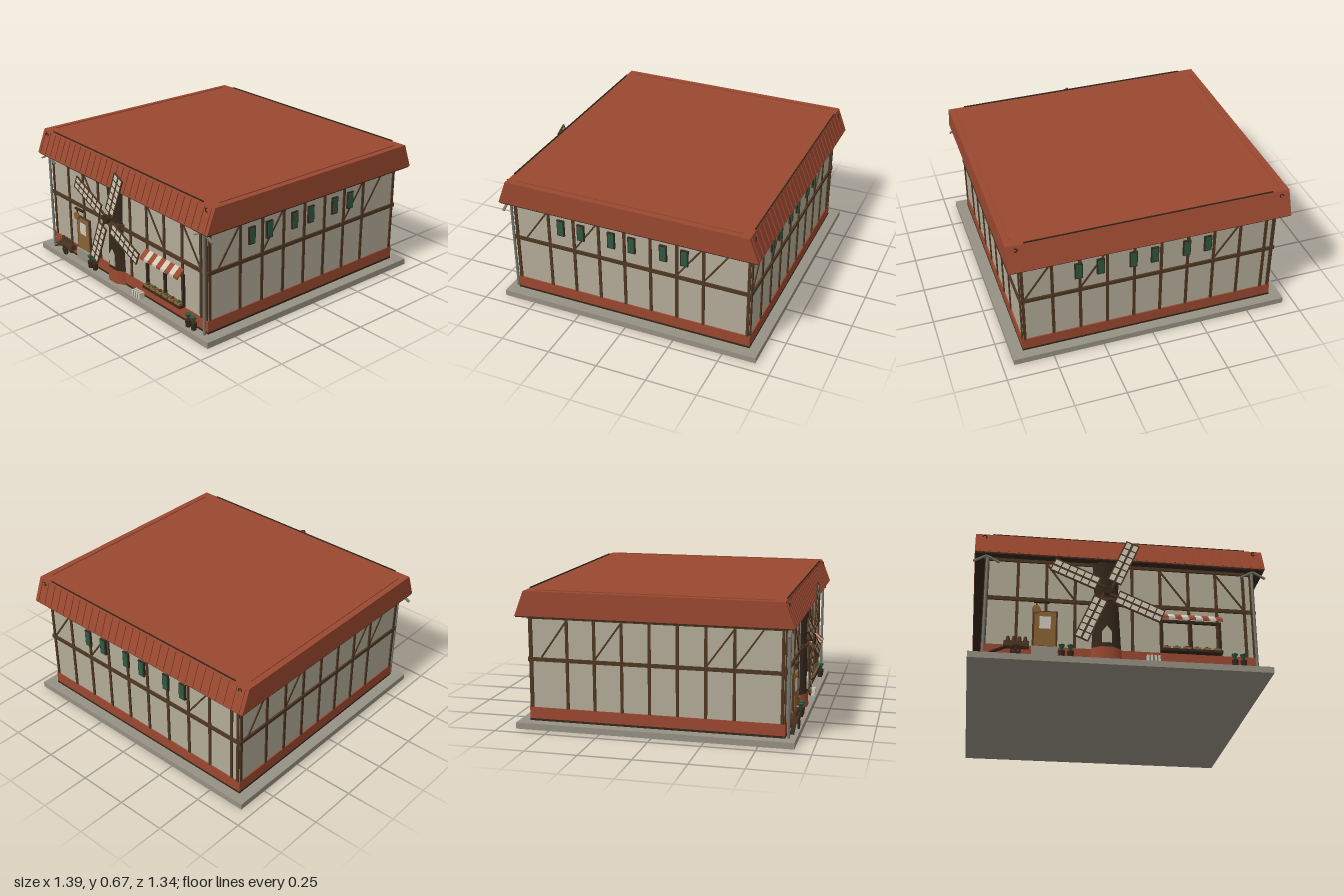
import * as THREE from 'three';

const mat = (name, color) => Object.assign(new THREE.MeshStandardMaterial({ color }), { name });

export function createModel() {
  const root = new THREE.Group();
  root.name = 'timberFramedMill';
  const plaster = mat('plaster', 0xb3ab98), red = mat('roofRed', 0x9a4830), timber = mat('timber', 0x4e3722),
    dark = mat('darkTimber', 0x36281c), ochre = mat('doorWood', 0x8a6234), green = mat('shutterGreen', 0x2c5a40),
    stone = mat('stone', 0x969183), cream = mat('cream', 0xd0c9ba), grey = mat('metalGrey', 0x77776f);

  const add = (parent, name, geo, m, x = 0, y = 0, z = 0) => {
    const mesh = new THREE.Mesh(geo, m);
    mesh.name = name;
    mesh.position.set(x, y, z);
    parent.add(mesh);
    return mesh;
  };
  const box = (p, name, m, w, h, d, x, y, z) => add(p, name, new THREE.BoxGeometry(w, h, d), m, x, y, z);
  const group = (p, name, x = 0, y = 0, z = 0) => {
    const g = new THREE.Group();
    g.name = name;
    g.position.set(x, y, z);
    p.add(g);
    return g;
  };
  // beam in a plane of constant z between two points
  const beam = (p, name, m, x0, y0, x1, y1, t, d, z) => {
    const b = box(p, name, m, Math.hypot(x1 - x0, y1 - y0), t, d, (x0 + x1) / 2, (y0 + y1) / 2, z);
    b.rotation.z = Math.atan2(y1 - y0, x1 - x0);
    return b;
  };

  const W = 0.632, D = 0.608;
  box(root, 'groundSlab', stone, 1.39, 0.03, 1.33, 0, 0.015, 0);
  box(root, 'walls', plaster, W * 2, 0.52, D * 2, 0, 0.29, 0);
  box(root, 'plinth', red, W * 2 + 0.012, 0.058, D * 2 + 0.012, 0, 0.066, 0);
  box(root, 'plinthFoot', dark, W * 2 + 0.014, 0.01, D * 2 + 0.014, 0, 0.035, 0);

  // half-timbering, built flat in each wall's own frame
  const wall = (name, angle, half, out, posts, braces, windows) => {
    const g = group(root, name);
    g.rotation.y = angle;
    for (const u of [...posts, -half + 0.008, half - 0.008])
      box(g, 'post', timber, 0.014, 0.44, 0.012, u, 0.315, out);
    box(g, 'middleRail', timber, half * 2 + 0.014, 0.018, 0.018, 0, 0.331, out);
    box(g, 'topRail', timber, half * 2 + 0.014, 0.018, 0.018, 0, 0.535, out);
    for (const [a, b] of braces) beam(g, 'brace', timber, a, 0.34, b, 0.525, 0.008, 0.01, out);
    for (const u of windows) {
      box(g, 'windowFrame', dark, 0.038, 0.086, 0.02, u, 0.445, out);
      box(g, 'shutter', green, 0.028, 0.074, 0.026, u, 0.445, out);
    }
  };
  const frontPosts = Array.from({ length: 9 }, (_, i) => -0.482 + 0.1335 * i);
  const sidePosts = Array.from({ length: 7 }, (_, i) => -0.422 + 0.1335 * i);
  const sideBraces = [[-0.55, -0.42], [-0.288, -0.155], [0.246, 0.38], [0.38, 0.51]];
  const windows = [-0.355, -0.248, -0.088, 0.018, 0.178, 0.285];
  wall('frontWall', 0, W, D, frontPosts, [[-0.215, -0.348], [0.318, 0.185], [0.585, 0.452]], []);
  wall('backWall', Math.PI, W, D, frontPosts, [[-0.615, -0.482], [-0.348, -0.215], [0.318, 0.452]], windows);
  wall('rightWall', Math.PI / 2, D, W, sidePosts, sideBraces, windows);
  wall('leftWall', -Math.PI / 2, D, W, sidePosts, sideBraces, []);

  // roof: trapezoid section run along x
  const roof = group(root, 'roof');
  const section = new THREE.Shape([[-0.658, 0.546], [0.658, 0.546], [0.612, 0.665], [-0.612, 0.665]]
    .map(([a, b]) => new THREE.Vector2(a, b)));
  const roofGeo = new THREE.ExtrudeGeometry(section, { depth: 1.376, bevelEnabled: false });
  roofGeo.translate(0, 0, -0.688).rotateY(-Math.PI / 2);
  add(roof, 'roofBody', roofGeo, red);
  box(roof, 'soffit', dark, 1.37, 0.006, 1.308, 0, 0.543, 0);
  const slope = Math.atan2(0.046, 0.119);
  for (const s of [1, -1]) {
    for (let i = 0; i < 30; i++) {
      const rib = box(roof, 'tileRib', red, 0.006, 0.115, 0.008, -0.667 + i * 0.046, 0.604, s * 0.636);
      rib.rotation.x = -s * slope;
    }
    box(roof, 'ridgeTrim', dark, 1.21, 0.007, 0.005, 0, 0.667, s * 0.608);
    box(roof, 'sideTrim', red, 0.006, 0.005, 1.13, s * 0.655, 0.667, 0);
    for (const f of [1, -1]) {
      const hook = add(roof, 'roofHook', new THREE.TorusGeometry(0.009, 0.003, 5, 8, 4.5), dark, s * 0.645, 0.645, f * 0.624);
      hook.rotation.z = s;
    }
    // downpipe and gutter brackets at the front corners
    add(root, 'downpipe', new THREE.CylinderGeometry(0.007, 0.007, 0.5, 8), grey, s * 0.628, 0.28, 0.628);
    for (const k of [1, -1])
      beam(root, 'gutterBracket', grey, s * 0.632, 0.54, s * 0.632 + k * 0.06, 0.507, 0.007, 0.012, 0.632);
  }

  // mill tower set against the front wall
  const mill = group(root, 'windmill', -0.07, 0, 0.598);
  const tower = (name, m, r0, r1, h, y) => {
    const t = add(mill, name, new THREE.CylinderGeometry(r1, r0, h, 8).rotateY(Math.PI / 8), m, 0, y, 0);
    t.scale.z = 0.62;
    return t;
  };
  tower('towerBase', red, 0.079, 0.074, 0.07, 0.065);
  tower('towerBody', dark, 0.073, 0.06, 0.26, 0.23);
  tower('towerGallery', timber, 0.075, 0.075, 0.014, 0.345);
  tower('towerTop', dark, 0.058, 0.07, 0.19, 0.45);
  const arch = new THREE.Shape();
  arch.moveTo(-0.022, 0);
  arch.lineTo(0.022, 0);
  arch.lineTo(0.022, 0.055);
  arch.lineTo(0, 0.085);
  arch.lineTo(-0.022, 0.055);
  add(mill, 'towerDoor', new THREE.ExtrudeGeometry(arch, { depth: 0.008, bevelEnabled: false }), plaster, 0, 0.12, 0.038);

  const rotor = group(mill, 'rotor', 0, 0.375, 0.069);
  add(rotor, 'axle', new THREE.CylinderGeometry(0.013, 0.013, 0.05, 8).rotateX(Math.PI / 2), timber, 0, 0, -0.022);
  add(rotor, 'hub', new THREE.CylinderGeometry(0.024, 0.024, 0.016, 8).rotateX(Math.PI / 2), dark);
  for (let i = 0; i < 4; i++) {
    const blade = group(rotor, 'blade');
    blade.rotation.z = THREE.MathUtils.degToRad(67 + 90 * i);
    box(blade, 'spar', timber, 0.28, 0.01, 0.008, 0.14, -0.012, -0.002);
    box(blade, 'sail', cream, 0.225, 0.062, 0.003, 0.167, -0.012, 0);
    for (const e of [-0.044, 0.02]) box(blade, 'sailEdge', timber, 0.23, 0.006, 0.007, 0.167, e, 0);
    for (let k = 0; k < 7; k++) box(blade, 'rung', timber, 0.005, 0.066, 0.007, 0.055 + k * 0.0375, -0.012, 0);
  }

  // entrance with hanging sign
  const door = group(root, 'door', -0.352, 0, 0.615);
  box(door, 'doorFrame', timber, 0.115, 0.18, 0.01, 0, 0.183, 0);
  box(door, 'doorLeaf', ochre, 0.098, 0.172, 0.014, 0, 0.181, 0);
  box(door, 'doorPane', cream, 0.052, 0.062, 0.018, 0, 0.212, 0);
  box(door, 'doorStep', stone, 0.12, 0.06, 0.02, 0, 0.06, 0.004);
  box(door, 'signArm', dark, 0.07, 0.009, 0.012, -0.018, 0.315, 0.012);
  box(door, 'signHanger', dark, 0.006, 0.04, 0.006, -0.04, 0.295, 0.012);
  add(door, 'signBoard', new THREE.CylinderGeometry(0.02, 0.02, 0.012, 8).rotateX(Math.PI / 2), ochre, -0.042, 0.275, 0.014);

  // shop window, striped awning and produce crates
  const shop = group(root, 'shopFront', 0.325, 0, 0.613);
  for (const s of [-0.137, 0, 0.137]) box(shop, 'shopPost', dark, 0.012, 0.16, 0.016, s, 0.178, 0);
  box(shop, 'shopHead', dark, 0.286, 0.012, 0.016, 0, 0.258, 0);
  box(shop, 'shopSill', dark, 0.286, 0.012, 0.04, 0, 0.103, 0.01);
  for (let i = 0; i < 9; i++) {
    const stripe = box(shop, 'awningStripe', i % 2 ? cream : red, 0.032, 0.006, 0.05, -0.126 + i * 0.032, 0.277, 0.021);
    stripe.rotation.x = 0.72;
    box(shop, 'awningValance', i % 2 ? cream : red, 0.032, 0.012, 0.004, -0.126 + i * 0.032, 0.259, 0.041);
  }
  for (let i = 0; i < 6; i++) {
    box(shop, 'crate', ochre, 0.036, 0.014, 0.026, -0.118 + i * 0.047, 0.113, 0.014);
    add(shop, 'produce', new THREE.SphereGeometry(0.011, 6, 4), i % 2 ? green : timber, -0.118 + i * 0.047, 0.12, 0.014);
  }

  // handcart
  const cart = group(root, 'handcart', -0.48, 0, 0.64);
  box(cart, 'cartBed', timber, 0.115, 0.026, 0.032, 0, 0.084, 0);
  beam(cart, 'cartHandle', dark, -0.115, 0.04, -0.03, 0.08, 0.007, 0.02, 0);
  for (const s of [1, -1]) {
    const z = s * 0.016;
    add(cart, 'cartWheel', new THREE.TorusGeometry(0.021, 0.004, 5, 12), dark, -0.002, 0.056, z);
    for (let k = 0; k < 3; k++) box(cart, 'spoke', dark, 0.04, 0.005, 0.004, -0.002, 0.056, z).rotation.z = k * Math.PI / 3;
  }
  for (const x of [-0.038, -0.012, 0.014, 0.04])
    add(cart, 'sack', new THREE.CylinderGeometry(0.008, 0.013, 0.03, 6), timber, x, 0.108, 0);

  // potted plants and slatted crate on the pavement
  for (const x of [-0.275, -0.235, 0.522, 0.562]) {
    add(root, 'pot', new THREE.CylinderGeometry(0.016, 0.012, 0.036, 8), dark, x, 0.048, 0.636);
    add(root, 'plant', new THREE.ConeGeometry(0.016, 0.032, 6).rotateX(Math.PI), green, x, 0.08, 0.636);
  }
  const crate = group(root, 'slattedCrate', 0.142, 0, 0.642);
  box(crate, 'crateCore', grey, 0.054, 0.024, 0.024, 0, 0.043, 0);
  for (let i = 0; i < 4; i++) box(crate, 'slat', cream, 0.009, 0.032, 0.03, -0.026 + i * 0.0173, 0.047, 0);

  return root;
}
